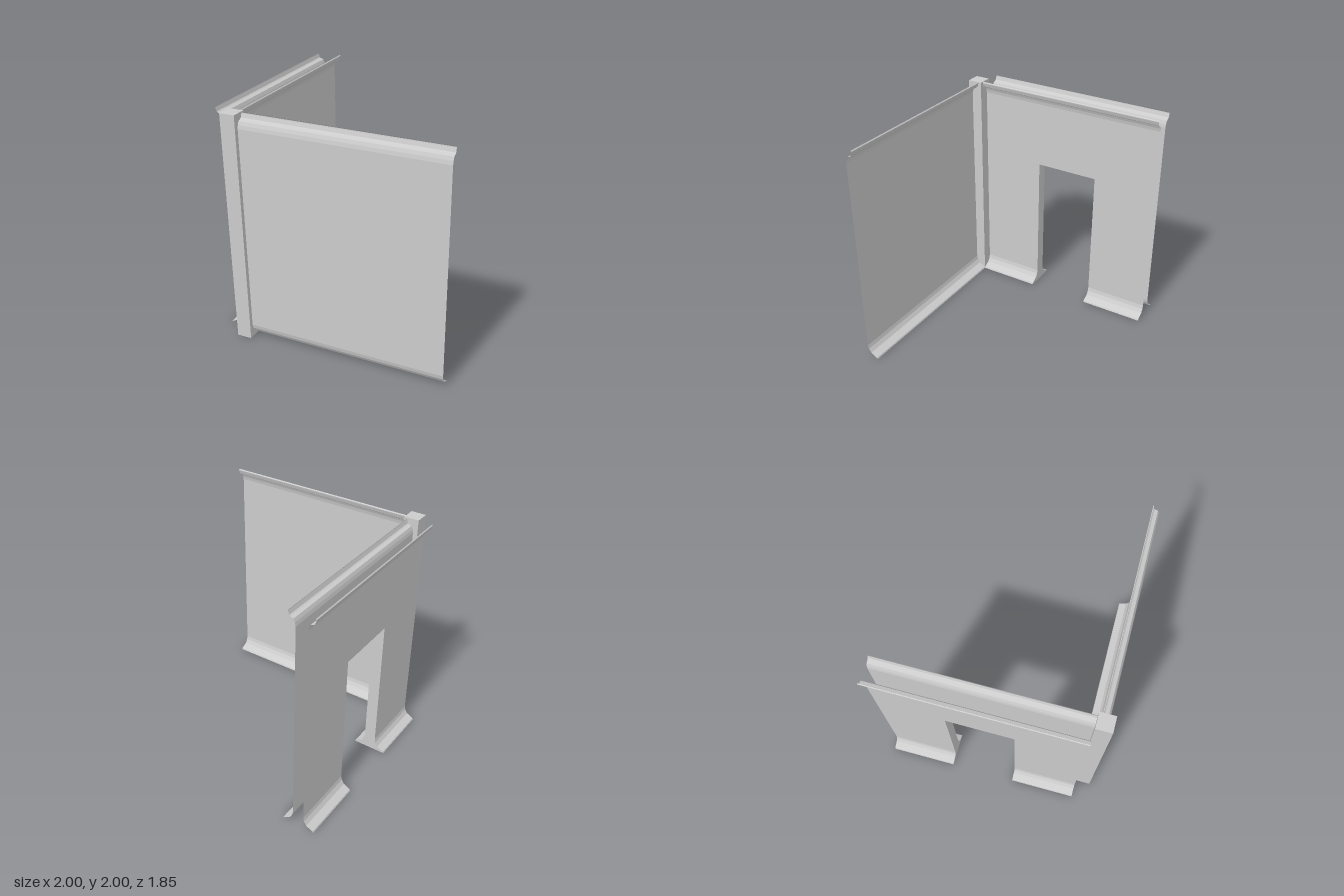
import * as THREE from 'three';

const material = new THREE.MeshStandardMaterial({
  color: 0xcccccc, flatShading: true, side: THREE.DoubleSide,
});

// Profiles as [outward offset, height]
const foot = [[0.095, 0], [0.09, 0.012], [0.03, 0.045], [0.008, 0.08], [0, 0.115]];
const cornice = [[0, 1.88], [0.006, 1.91], [0.018, 1.938], [0.045, 1.948],
  [0.054, 1.955], [0.064, 1.985], [0.065, 1.992], [0.058, 2]];
const doorTop = 1.29;

// Thin sheet: a profile swept along z, flaring towards +x (side 1) or -x (side -1)
function sheet(name, profile, z0, z1, side = 1) {
  const pos = [], index = [];
  profile.forEach(([d, y], i) => {
    pos.push(side * d, y, z0, side * d, y, z1);
    if (i === 0) return;
    const a = 2 * i - 2, b = a + 1, c = a + 2, e = a + 3;
    if (side > 0) index.push(a, c, b, b, c, e);
    else index.push(a, b, c, b, e, c);
  });
  const geo = new THREE.BufferGeometry();
  geo.setAttribute('position', new THREE.Float32BufferAttribute(pos, 3));
  geo.setIndex(index);
  geo.computeVertexNormals();
  const mesh = new THREE.Mesh(geo, material);
  mesh.name = name;
  return mesh;
}

export function createModel() {
  const model = new THREE.Group();
  model.name = 'wallCorner';
  const full = [...foot, ...cornice];
  const header = [[0, doorTop], ...cornice];
  const back = -0.925, doorBack = -0.35, doorFront = 0.22, front = 0.79;
  const inner = -0.807, outer = -0.907;

  // Corner post
  const post = new THREE.Mesh(new THREE.BoxGeometry(0.13, 2, 0.13), material);
  post.position.set(-0.78, 1, 0.857);
  post.name = 'cornerPost';
  model.add(post);

  // Plain wall, its mouldings facing the room (-z)
  const plain = sheet('plainWall', full, -0.715, 1);
  plain.rotation.y = Math.PI / 2;
  plain.position.z = 0.885;
  model.add(plain);

  // Doorway wall: two skins, each with two piers and a header
  const doorWall = new THREE.Group();
  doorWall.name = 'doorwayWall';
  for (const [side, x, label] of [[1, inner, 'inner'], [-1, outer, 'outer']]) {
    const skin = new THREE.Group();
    skin.name = label + 'Skin';
    skin.position.x = x;
    skin.add(
      sheet('backPier', full, back, doorBack, side),
      sheet('header', header, doorBack, doorFront, side),
      sheet('frontPier', full, doorFront, front, side),
    );
    doorWall.add(skin);
  }

  // Door jambs, following the flared foot on both sides
  const outline = [
    ...foot.map(([d, y]) => new THREE.Vector2(inner + d, y)),
    new THREE.Vector2(inner, doorTop), new THREE.Vector2(outer, doorTop),
    ...foot.slice().reverse().map(([d, y]) => new THREE.Vector2(outer - d, y)),
  ];
  const jambGeo = new THREE.ShapeGeometry(new THREE.Shape(outline));
  for (const [name, z, turn] of [['backJamb', doorBack, 0], ['frontJamb', doorFront, Math.PI]]) {
    const jamb = new THREE.Mesh(jambGeo, material);
    jamb.name = name;
    jamb.rotation.y = turn;
    jamb.position.set(turn ? inner + outer : 0, 0, z);
    doorWall.add(jamb);
  }

  // Underside of the doorway header
  const soffit = new THREE.Mesh(
    new THREE.PlaneGeometry(inner - outer, doorFront - doorBack), material);
  soffit.rotation.x = Math.PI / 2;
  soffit.position.set((inner + outer) / 2, doorTop, (doorFront + doorBack) / 2);
  soffit.name = 'doorSoffit';
  doorWall.add(soffit);

  model.add(doorWall);
  return model;
}
